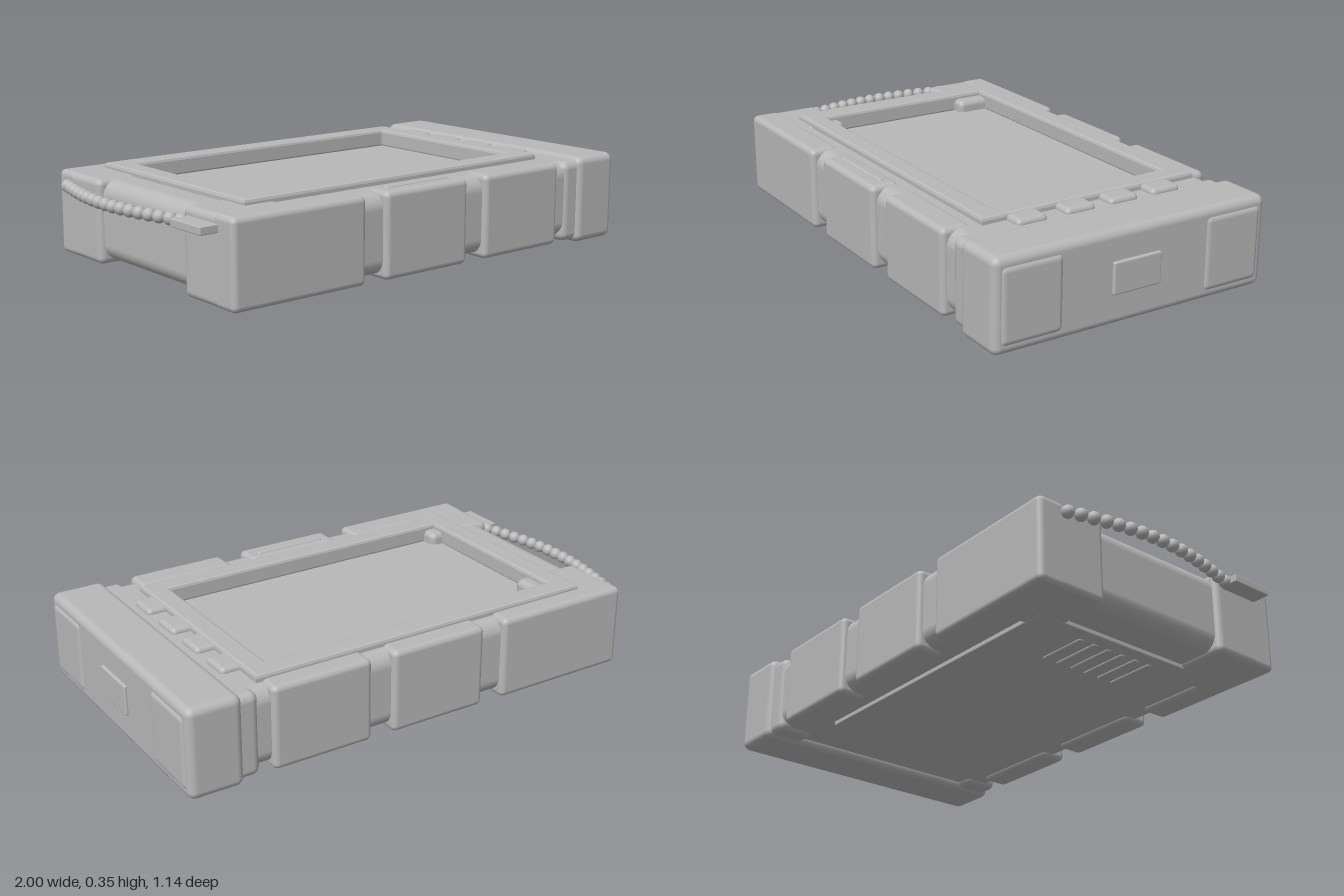
import * as THREE from 'three';
import { RoundedBoxGeometry } from 'three/addons/geometries/RoundedBoxGeometry.js';

const grey = new THREE.MeshStandardMaterial({ color: 0xb8b8b8 });
grey.name = 'grey casing';

export function createModel() {
  const model = new THREE.Group();
  model.name = 'ruggedTablet';

  const add = (name, geometry) => {
    const mesh = new THREE.Mesh(geometry, grey);
    mesh.name = name;
    model.add(mesh);
    return mesh;
  };
  // Rounded block given by its limits on each axis
  const block = (name, [x0, x1], [y0, y1], [z0, z1], radius) => {
    const mesh = add(name, new RoundedBoxGeometry(x1 - x0, y1 - y0, z1 - z0, 4, radius));
    mesh.position.set((x0 + x1) / 2, (y0 + y1) / 2, (z0 + z1) / 2);
    return mesh;
  };
  // Limits mirrored to the front (+1) or back (-1)
  const side = (s, a, b) => (s > 0 ? [a, b] : [-b, -a]);
  const rect = (path, x0, x1, z0, z1) => {
    path.moveTo(x0, -z0);
    path.lineTo(x0, -z1);
    path.lineTo(x1, -z1);
    path.lineTo(x1, -z0);
    path.closePath();
    return path;
  };

  // Core: rails around the recessed centre
  const coreY = [0.03, 0.33];
  block('frontRail', [-0.87, 0.82], coreY, [0.34, 0.545], 0.06);
  block('backRail', [-0.87, 0.82], coreY, [-0.545, -0.41], 0.06);
  block('leftRail', [-0.87, -0.66], coreY, [-0.54, 0.54], 0.06);
  block('rightRail', [0.6, 0.85], coreY, [-0.54, 0.54], 0.06);
  block('centreSlab', [-0.84, 0.8], [0.03, 0.28], [-0.51, 0.51], 0.02);
  block('screen', [-0.66, 0.61], [0.278, 0.287], [-0.41, 0.345], 0.002);

  // Screen frame with bevelled edges and an open middle
  const b = 0.012;
  const frameShape = rect(new THREE.Shape(), -0.738 + b, 0.682 - b, -0.488 + b, 0.42 - b);
  frameShape.holes.push(rect(new THREE.Path(), -0.65 - b, 0.595 + b, -0.4 - b, 0.335 + b));
  const frame = add('screenFrame', new THREE.ExtrudeGeometry(frameShape, {
    depth: 0.075 - 2 * b, bevelEnabled: true, bevelThickness: b, bevelSize: b, bevelSegments: 2,
  }));
  frame.rotation.x = -Math.PI / 2;
  frame.position.y = 0.28 + b;

  // Keys along the right edge of the frame
  for (const z of [-0.31, -0.125, 0.06, 0.26]) {
    block('key', [0.64, 0.752], [0.31, 0.35], [z - 0.062, z + 0.062], 0.018);
  }

  // Bumpers along both long sides
  for (const s of [1, -1]) {
    for (const x of [[-0.89, -0.32], [-0.23, 0.17], [0.26, 0.66]]) {
      block('sideBumper', x, [0.015, 0.337], side(s, 0.45, 0.565), 0.022);
    }
    block('leftCornerBumper', [-0.89, -0.6], [0.015, 0.335], side(s, 0.275, 0.564), 0.025);
    block('rightCornerLip', [0.705, 0.84], [0.012, 0.33], side(s, 0.4, 0.553), 0.03);
    block('rightCornerPad', [0.8, 0.992], [0.03, 0.315], side(s, 0.295, 0.545), 0.025);
  }

  // Right end cap with its port cover
  block('endCap', [0.775, 0.985], [0, 0.345], [-0.568, 0.568], 0.03);
  block('portCover', [0.96, 0.996], [0.115, 0.235], [-0.1, 0.1], 0.007);

  // Slim raised bar on the front bumper
  block('stylusBar', [-0.18, 0.12], [0.325, 0.343], [0.482, 0.51], 0.008);

  // Bottom cover with vent slats
  block('bottomCover', [-0.7, 0.55], [0.012, 0.05], [-0.4, 0.4], 0.006);
  for (let i = 0; i < 6; i++) {
    const z = -0.165 + i * 0.066;
    block('ventSlat', [-0.65, -0.45], [0.005, 0.02], [z - 0.012, z + 0.012], 0.006);
  }

  // Strap tab and bead strap at the left end
  block('strapTab', [-0.96, -0.86], [0.275, 0.305], [0.305, 0.482], 0.004);
  const bead = new THREE.SphereGeometry(0.024, 16, 12);
  const count = 17;
  for (let i = 0; i < count; i++) {
    const t = i / (count - 1);
    add('strapBead', bead).position.set(
      -0.913 - 0.063 * Math.sin(Math.PI * t), 0.29, -0.46 + 0.76 * t);
  }
  return model;
}
